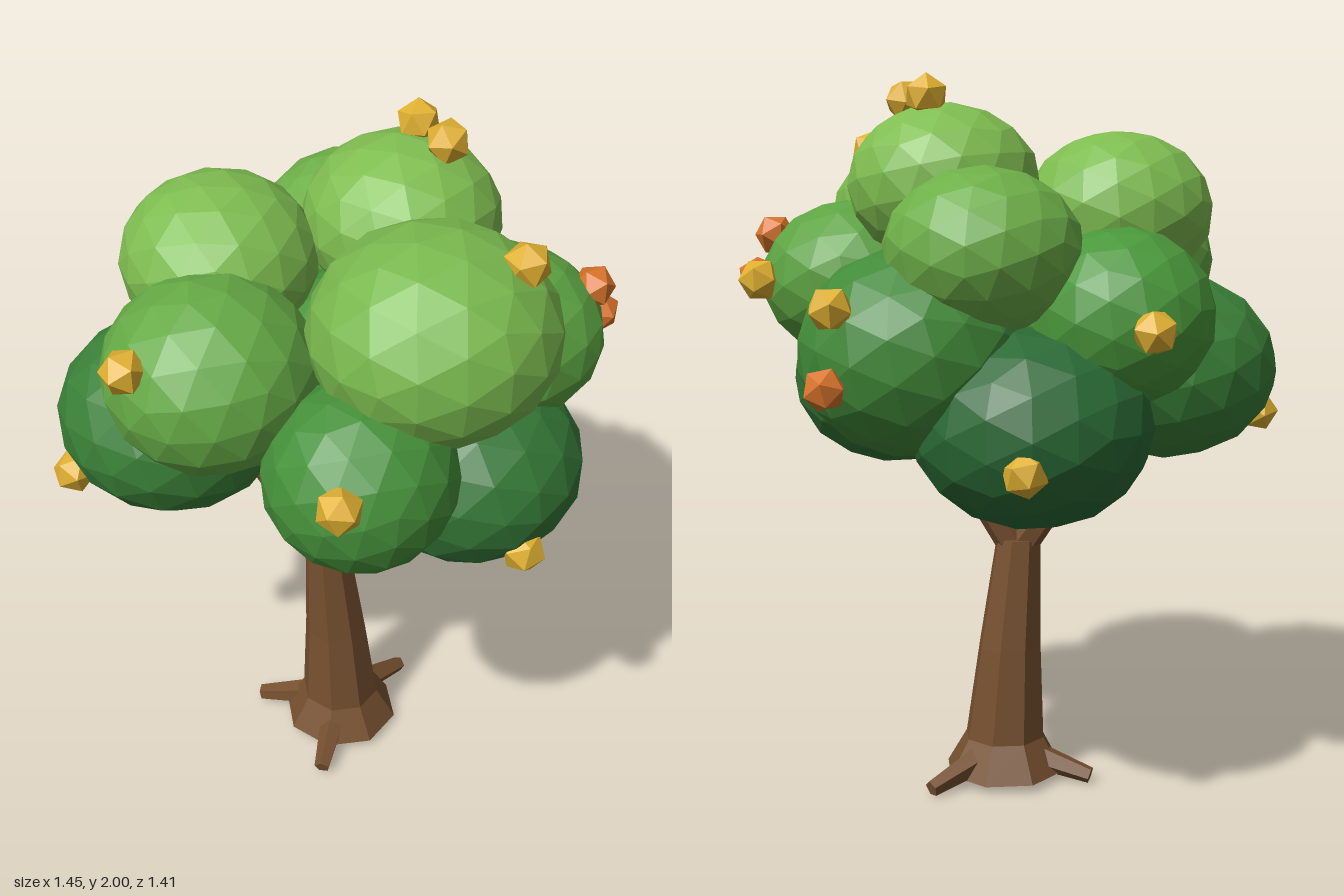
import * as THREE from 'three';

const flat = (color) => new THREE.MeshStandardMaterial({ color, flatShading: true });
const bark = flat(0x76502f);
const gold = flat(0xe0b030);
const orange = flat(0xd9752c);

// Tapered straight limb between two points
function limb(name, from, to, r0, r1, sides) {
  const a = new THREE.Vector3(...from), b = new THREE.Vector3(...to);
  const dir = b.clone().sub(a);
  const mesh = new THREE.Mesh(new THREE.CylinderGeometry(r1, r0, dir.length(), sides), bark);
  mesh.position.copy(a).add(b).multiplyScalar(0.5);
  mesh.quaternion.setFromUnitVectors(new THREE.Vector3(0, 1, 0), dir.normalize());
  mesh.name = name;
  return mesh;
}

// Eight-sided trunk that flares at the foot and leans slightly
function makeTrunk() {
  const rings = [ // x, y, z, radius
    [0.02, 0.03, 0.04, 0.175],
    [0.018, 0.13, 0.04, 0.118],
    [0.005, 0.4, 0.032, 0.093],
    [-0.02, 0.72, 0.025, 0.066],
  ];
  const geo = new THREE.CylinderGeometry(1, 1, 1, 8, 3);
  const pos = geo.attributes.position;
  for (let i = 0; i < pos.count; i++) {
    const [cx, cy, cz, r] = rings[Math.round((pos.getY(i) + 0.5) * 3)];
    pos.setXYZ(i, cx + pos.getX(i) * r, cy, cz + pos.getZ(i) * r);
  }
  geo.computeVertexNormals();
  const mesh = new THREE.Mesh(geo, bark);
  mesh.name = 'trunk';
  return mesh;
}

// Leaf clumps: x, y, z, horizontal radius, vertical radius
const clumps = [
  [0.06, 1.62, 0.39, 0.315, 0.265],
  [0.215, 1.72, 0.01, 0.262, 0.218],
  [-0.23, 1.65, -0.16, 0.26, 0.218],
  [0.245, 1.55, -0.28, 0.258, 0.215],
  [-0.4, 1.5, 0.1, 0.275, 0.248],
  [-0.185, 1.325, 0.45, 0.247, 0.24],
  [0.205, 1.17, 0.37, 0.305, 0.258],
  [0.37, 1.46, 0.27, 0.265, 0.225],
  [0.385, 1.29, -0.15, 0.302, 0.275],
  [0.13, 1.1, -0.33, 0.318, 0.266],
  [-0.09, 1.38, -0.4, 0.25, 0.232],
  [-0.385, 1.22, -0.175, 0.312, 0.262],
  [0, 1.34, 0.02, 0.3, 0.25],
];

// Fruit: x, y, z
const goldFruit = [
  [-0.65, 1.615, 0.15], [-0.35, 1.4, 0.62], [0.195, 1.05, 0.638], [0.21, 1.83, 0.533],
  [0.285, 1.945, 0.1], [0.285, 1.95, -0.028], [0.655, 1.415, -0.267], [0.655, 1.465, 0.265],
  [-0.665, 1.08, -0.235], [-0.03, 1.36, -0.655], [0.285, 1.025, -0.575],
];
const orangeFruit = [[0.57, 1.585, 0.375], [0.635, 1.47, 0.335], [0.675, 1.22, -0.27]];

// Low clumps are dark, high clumps light
function leafColor(y) {
  const dark = new THREE.Color(0x2a6a35), mid = new THREE.Color(0x4a983b), light = new THREE.Color(0x7fbd50);
  const t = THREE.MathUtils.clamp((y - 1.1) / 0.56, 0, 1) * 2;
  return t < 1 ? dark.lerp(mid, t) : mid.lerp(light, t - 1);
}

export function createModel() {
  const tree = new THREE.Group();
  tree.name = 'tree';
  tree.add(makeTrunk());

  // Roots
  for (const tip of [[0.285, 0.03, -0.02], [-0.165, 0.03, 0.23], [-0.165, 0.03, -0.145]]) {
    tree.add(limb('root', [0.02, 0.1, 0.04], tip, 0.05, 0.024, 5));
  }

  // Branches
  for (const tip of [[0.29, 1.2, 0.13], [-0.12, 1.25, 0.36], [-0.25, 1.2, -0.26]]) {
    tree.add(limb('branch', [-0.015, 0.68, 0.025], tip, 0.046, 0.03, 6));
  }

  // Foliage
  const foliage = new THREE.Group();
  foliage.name = 'foliage';
  clumps.forEach(([x, y, z, r, ry], i) => {
    const geo = new THREE.IcosahedronGeometry(1, 2);
    geo.rotateY(i * 1.3).rotateX(i * 0.7).scale(r, ry, r);
    const mesh = new THREE.Mesh(geo, flat(leafColor(y)));
    mesh.position.set(x, y, z);
    mesh.name = 'leafClump';
    foliage.add(mesh);
  });
  tree.add(foliage);

  // Fruit
  const addFruit = (list, material, radius) => list.forEach((p, i) => {
    const mesh = new THREE.Mesh(new THREE.IcosahedronGeometry(radius, 0), material);
    mesh.position.set(...p);
    mesh.rotation.set(i * 0.9, i * 1.7, 0);
    mesh.name = 'fruit';
    tree.add(mesh);
  });
  addFruit(goldFruit, gold, 0.06);
  addFruit(orangeFruit, orange, 0.058);

  return tree;
}
